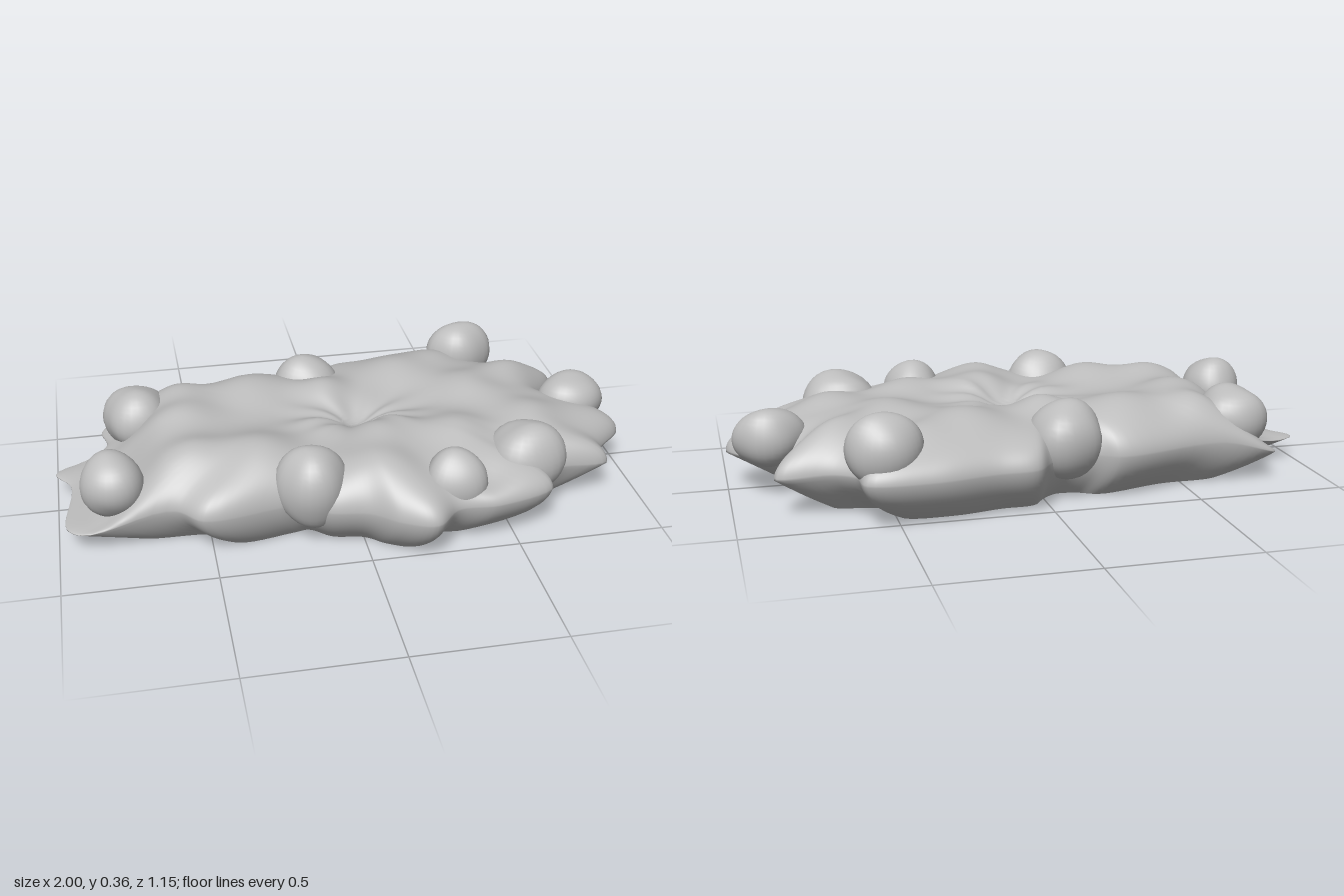
import * as THREE from 'three';
import { mergeVertices } from 'three/addons/utils/BufferGeometryUtils.js';

const { lerp, smoothstep, clamp } = THREE.MathUtils;
const SEG = 240;

// Irregular plan outline (x, z), running from +x towards +z
const OUTLINE = [
  [1, 0.04], [0.89, 0.17], [0.88, 0.26], [0.7, 0.29], [0.62, 0.34], [0.63, 0.42], [0.43, 0.49],
  [0.29, 0.49], [0.2, 0.57], [0.09, 0.53], [0, 0.46], [-0.13, 0.43], [-0.22, 0.36], [-0.29, 0.37],
  [-0.53, 0.4], [-0.62, 0.32], [-0.92, 0.29], [-0.97, 0.24], [-0.95, -0.02], [-1, -0.12],
  [-0.82, -0.23], [-0.83, -0.35], [-0.77, -0.38], [-0.55, -0.39], [-0.25, -0.46], [-0.16, -0.42],
  [-0.07, -0.41], [0, -0.46], [0.06, -0.53], [0.2, -0.54], [0.4, -0.575], [0.61, -0.555],
  [0.63, -0.46], [0.7, -0.4], [0.87, -0.35], [0.79, -0.18], [0.94, -0.07],
];

// Soft swellings and dips of the upper face: x, z, radius, height
const BUMPS = [
  [0.12, 0.14, 0.12, 0.055], [0.25, -0.3, 0.14, 0.055], [-0.3, -0.27, 0.15, 0.06],
  [-0.32, 0.2, 0.14, 0.06], [-0.55, 0.17, 0.12, 0.055], [0.36, 0.17, 0.12, 0.05],
  [0.48, -0.12, 0.13, 0.055], [-0.03, -0.2, 0.1, 0.05], [-0.55, -0.1, 0.13, 0.06],
  [0.65, 0.1, 0.11, 0.045], [0.05, 0.36, 0.13, 0.055], [0.68, -0.24, 0.12, 0.05],
  [0.42, -0.4, 0.1, 0.03], [-0.55, -0.3, 0.1, 0.05], [0.05, 0, 0.08, -0.045],
  [0.4, 0.42, 0.08, -0.04], [-0.1, 0.05, 0.08, 0.02],
];

// Knobs set around the edge: centre, radii
const KNOBS = [
  [-0.81, 0.2, 0.19, 0.105, 0.11, 0.105], [-0.7, 0.2, -0.25, 0.12, 0.115, 0.12],
  [-0.07, 0.2, -0.36, 0.125, 0.13, 0.12], [0.54, 0.24, -0.465, 0.12, 0.12, 0.095],
  [0.86, 0.2, -0.09, 0.12, 0.1, 0.095], [0.58, 0.195, 0.27, 0.14, 0.13, 0.115],
  [0.3, 0.205, 0.385, 0.105, 0.11, 0.1], [-0.17, 0.207, 0.33, 0.12, 0.138, 0.115],
];

function outlinePoints() {
  const curve = new THREE.CatmullRomCurve3(
    OUTLINE.map(([x, z]) => new THREE.Vector3(x, 0, z)), true, 'centripetal');
  return Array.from({ length: SEG }, (_, j) => curve.getPoint(j / SEG));
}

// Closed rings joined in order; place(point, ring) gives [x, y, z]
function ringSurface(points, rings, place) {
  const pos = [], index = [];
  for (let i = 0; i <= rings; i++) {
    points.forEach((p, j) => {
      pos.push(...place(p, i));
      if (i === rings) return;
      const a = i * SEG + j, b = i * SEG + (j + 1) % SEG;
      index.push(a, b, a + SEG, b, b + SEG, a + SEG);
    });
  }
  const g = new THREE.BufferGeometry();
  g.setAttribute('position', new THREE.Float32BufferAttribute(pos, 3));
  g.setIndex(index);
  const merged = mergeVertices(g, 1e-5);
  merged.computeVertexNormals();
  return merged;
}

function upperHeight(x, z) {
  let h = 0.257;
  for (const [bx, bz, r, k] of BUMPS) {
    h += k * Math.exp(-((x - bx) ** 2 + (z - bz) ** 2) / (r * r));
  }
  // Fine folds that radiate from the middle
  const d = Math.hypot(x - 0.05, z), a = Math.atan2(z, x - 0.05);
  return h + 0.004 * Math.sin(a * 9 + 2 * Math.sin(a * 2))
    * smoothstep(d, 0, 0.12) * (1 - smoothstep(d, 0.15, 0.35));
}

const TOP = 48, SIDE = 10, FOOT = 0.785;

// Thick rounded rim all round, dropping to a thin skirt at the -x end
function bodyPoint(p, i) {
  const end = smoothstep(Math.abs(p.x), 0.6, 0.95);
  const rim = lerp(0.15, p.x < 0 ? 0.075 : 0.125, end);
  if (i <= TOP) {
    const s = Math.sin((i / TOP) * Math.PI / 2);
    const x = p.x * s, z = p.z * s;
    const fall = Math.sqrt(clamp(1 - s ** 6, 0, 1)) * lerp(0.12, 1, smoothstep(x, -0.9, -0.62));
    return [x, rim + (upperHeight(x, z) - rim) * fall, z];
  }
  const t = (i - TOP) / SIDE;
  const s = lerp(1, FOOT, lerp(t * t, t, end * 0.8 + 0.2));
  return [p.x * s, rim * (1 - t), p.z * s];
}

// Slightly angular rounded lump
function knobGeometry(rx, ry, rz, seed) {
  let g = new THREE.SphereGeometry(1, 28, 20);
  g.deleteAttribute('uv');
  g.deleteAttribute('normal');
  g = mergeVertices(g, 1e-4);
  const p = g.attributes.position, v = new THREE.Vector3();
  for (let i = 0; i < p.count; i++) {
    v.fromBufferAttribute(p, i);
    const k = 1 + 0.05 * Math.sin(3 * v.x + seed * 2.1) * Math.cos(3 * v.z + seed)
      + 0.03 * Math.sin(5 * v.z + 2 * v.y + seed * 1.7);
    p.setXYZ(i, v.x * k * rx, v.y * k * ry, v.z * k * rz);
  }
  g.computeVertexNormals();
  return g;
}

export function createModel() {
  const group = new THREE.Group();
  group.name = 'lumpySlab';
  const grey = new THREE.MeshStandardMaterial({ color: 0xbcbcbc });
  grey.name = 'plainGrey';
  const add = (geometry, name) => {
    const mesh = new THREE.Mesh(geometry, grey);
    mesh.name = name;
    group.add(mesh);
    return mesh;
  };

  const points = outlinePoints();
  add(ringSurface(points, TOP + SIDE, bodyPoint), 'body');

  // Flat underside
  add(ringSurface(points, 1, (p, i) => [p.x * FOOT * (1 - i), 0, p.z * FOOT * (1 - i)]), 'underside');

  // Knobs around the edge
  KNOBS.forEach(([x, y, z, rx, ry, rz], i) => {
    add(knobGeometry(rx, ry, rz, i + 1), 'knob' + (i + 1)).position.set(x, y, z);
  });
  return group;
}
